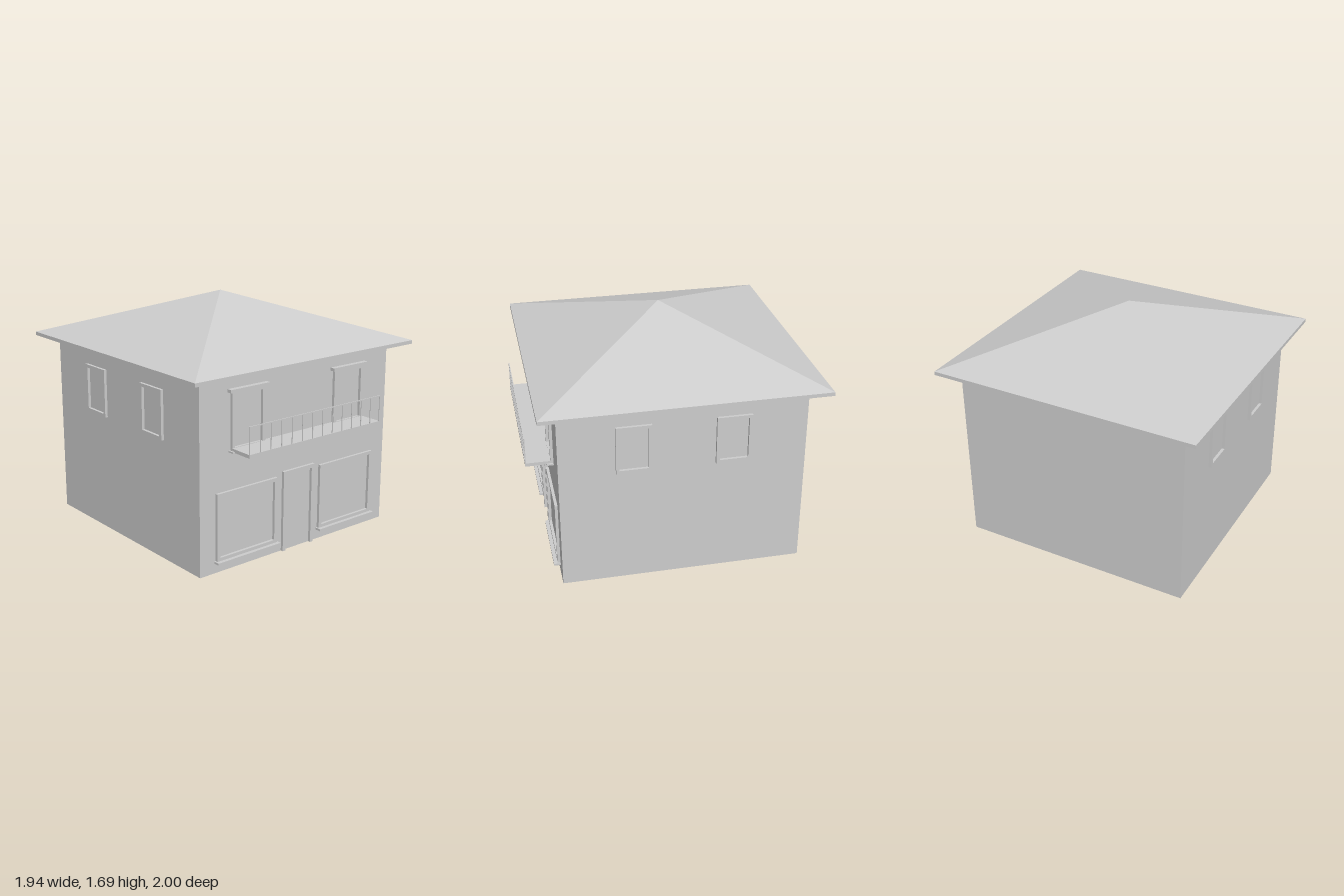
import * as THREE from 'three';

export function createModel() {
  const house = new THREE.Group();
  house.name = 'house';
  const plaster = new THREE.MeshStandardMaterial({ color: 0xcccccc });
  plaster.name = 'plaster grey';

  const CZ = -0.0315;        // centre of walls and roof in z
  const HALF = 0.842;        // half width of the walls
  const FRONT = CZ + HALF;   // z of the front wall

  const add = (name, geometry, parent = house) => {
    const mesh = new THREE.Mesh(geometry, plaster);
    mesh.name = name;
    parent.add(mesh);
    return mesh;
  };

  // Box given by its minimum and maximum corners
  const block = (name, x0, x1, y0, y1, z0, z1, parent) => {
    const mesh = add(name, new THREE.BoxGeometry(x1 - x0, y1 - y0, z1 - z0), parent);
    mesh.position.set((x0 + x1) / 2, (y0 + y1) / 2, (z0 + z1) / 2);
    return mesh;
  };

  const rect = (Type, x0, x1, y0, y1) => {
    const path = new Type();
    path.moveTo(x0, y0);
    path.lineTo(x1, y0);
    path.lineTo(x1, y1);
    path.lineTo(x0, y1);
    path.closePath();
    return path;
  };

  // Flat rectangular surround of width t, standing proud of z = 0
  const frame = (x0, x1, y0, y1, t) => {
    const shape = rect(THREE.Shape, x0, x1, y0, y1);
    shape.holes.push(rect(THREE.Path, x0 + t, x1 - t, y0 + t, y1 - t));
    return new THREE.ExtrudeGeometry(shape, { depth: 0.02, bevelEnabled: false });
  };

  // Walls reach up to the sloping underside of the roof
  block('walls', -HALF, HALF, 0, 1.365, CZ - HALF, FRONT);

  // Hollow pyramid roof with a thin vertical edge
  const r = 0.968 * Math.SQRT2;
  const profile = [[0, 1.662], [r, 1.325], [r, 1.351], [0, 1.687]]
    .map(([x, y]) => new THREE.Vector2(x, y));
  const roofGeometry = new THREE.LatheGeometry(profile, 4, Math.PI / 4).toNonIndexed();
  roofGeometry.computeVertexNormals();
  add('roof', roofGeometry).position.z = CZ;

  // Front door surround, open at the bottom
  const door = new THREE.Shape();
  [[-0.142, 0], [-0.116, 0], [-0.116, 0.552], [0.116, 0.552],
    [0.116, 0], [0.142, 0], [0.142, 0.578], [-0.142, 0.578]]
    .forEach(([x, y], i) => (i ? door.lineTo(x, y) : door.moveTo(x, y)));
  add('frontDoorFrame', new THREE.ExtrudeGeometry(door, { depth: 0.02, bevelEnabled: false }))
    .position.z = FRONT;

  for (const side of [-1, 1]) {
    // Large ground floor window with sill
    const shop = new THREE.Group();
    shop.name = 'groundFloorWindow';
    shop.position.set(side * 0.455, 0, FRONT);
    add('windowFrame', frame(-0.258, 0.258, 0.082, 0.552, 0.025), shop);
    block('windowSill', -0.27, 0.27, 0.07, 0.085, 0, 0.046, shop);
    house.add(shop);

    // Balcony door with lintel and threshold
    const balconyDoor = new THREE.Group();
    balconyDoor.name = 'balconyDoor';
    balconyDoor.position.set(side * 0.4525, 0, FRONT);
    add('balconyDoorFrame', frame(-0.14, 0.14, 0.817, 1.212, 0.024), balconyDoor);
    block('lintel', -0.164, 0.164, 1.21, 1.231, 0, 0.036, balconyDoor);
    block('threshold', -0.154, 0.154, 0.811, 0.821, 0, 0.046, balconyDoor);
    house.add(balconyDoor);

    // Two windows on each side wall
    for (const z of [0.309, -0.367]) {
      const sideWindow = add('sideWindowFrame', frame(-0.121, 0.121, 0.844, 1.187, 0.023));
      sideWindow.rotation.y = side * Math.PI / 2;
      sideWindow.position.set(side * HALF, 0, z);
    }
  }

  // Balcony slab and front railing
  block('balconySlab', -0.592, 0.592, 0.814, 0.838, FRONT, 1);
  block('handrail', -0.592, 0.592, 1.016, 1.023, 0.993, 1);
  const bars = 13;
  for (let i = 0; i <= bars; i++) {
    const x = -0.5895 + (i / bars) * 1.179;
    block('railingBar', x - 0.0025, x + 0.0025, 0.838, 1.016, 0.994, 0.999);
  }

  return house;
}
